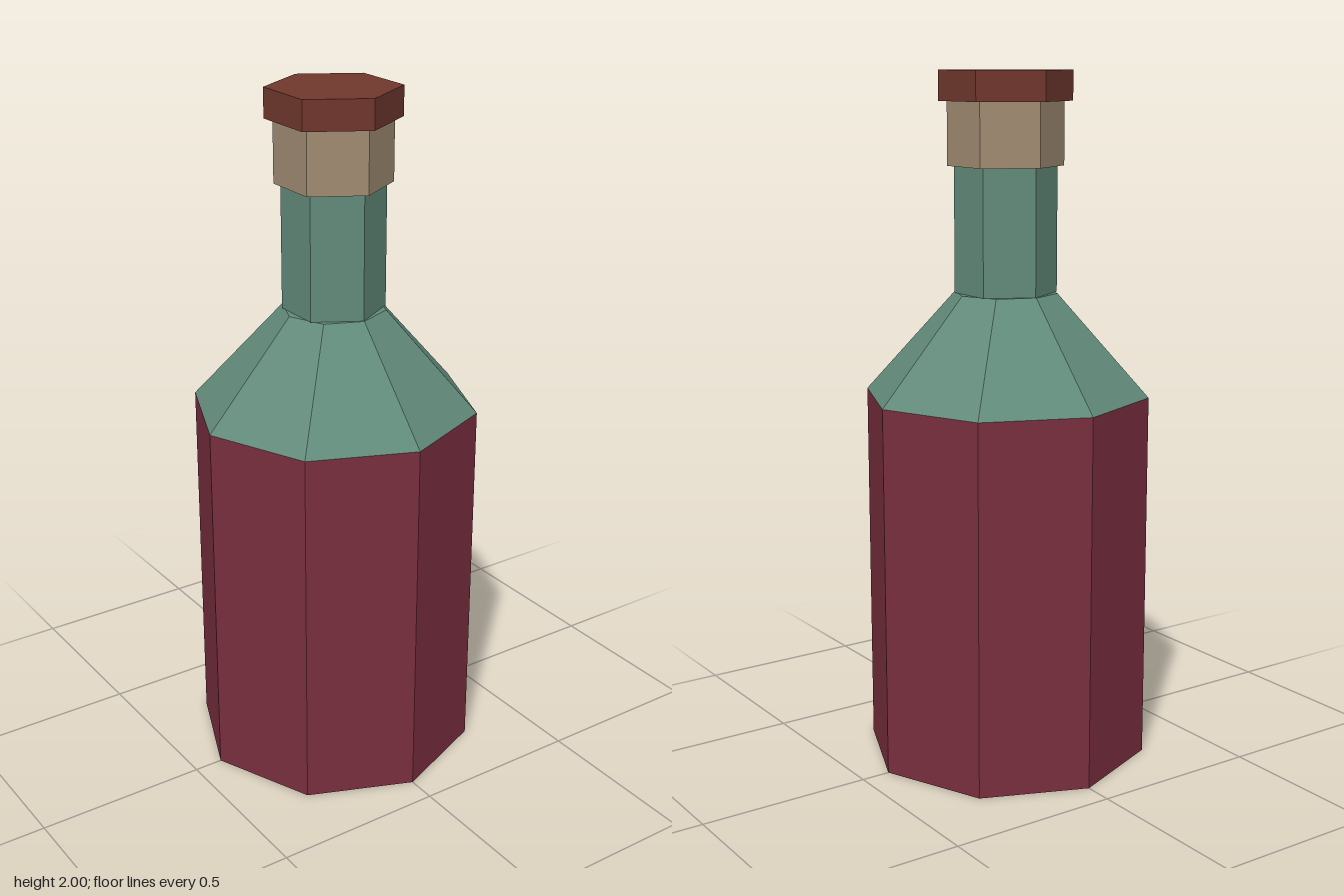
import * as THREE from 'three';

const flat = (name, color) => {
  const m = new THREE.MeshStandardMaterial({ color, flatShading: true });
  m.name = name;
  return m;
};

export function createModel() {
  const wine = flat('wine red', 0x7a2f3f);
  const glass = flat('green glass', 0x628b7a);
  const cork = flat('cork tan', 0xa08b72);
  const wax = flat('rust brown', 0x70372d);

  const bottle = new THREE.Group();
  bottle.name = 'bottle';

  // Each part is a faceted ring section stacked from the base up:
  // name, bottom y, top y, bottom radius, top radius, sides, material
  const parts = [
    ['body', 0, 1.08, 0.416, 0.416, 8, wine],
    ['shoulder', 1.08, 1.375, 0.416, 0.15, 8, glass],
    ['neck', 1.375, 1.735, 0.147, 0.147, 6, glass],
    ['collar', 1.735, 1.915, 0.166, 0.166, 6, cork],
    ['cap', 1.915, 2, 0.19, 0.19, 6, wax],
  ];
  for (const [name, y0, y1, r0, r1, sides, material] of parts) {
    // The shoulder's base would coincide with the top of the body, so shrink nothing and leave it open
    const open = name === 'neck';
    const geometry = new THREE.CylinderGeometry(r1, r0, y1 - y0, sides, 1, open);
    const mesh = new THREE.Mesh(geometry, material);
    mesh.name = name;
    mesh.position.y = (y0 + y1) / 2;
    bottle.add(mesh);
  }
  return bottle;
}
